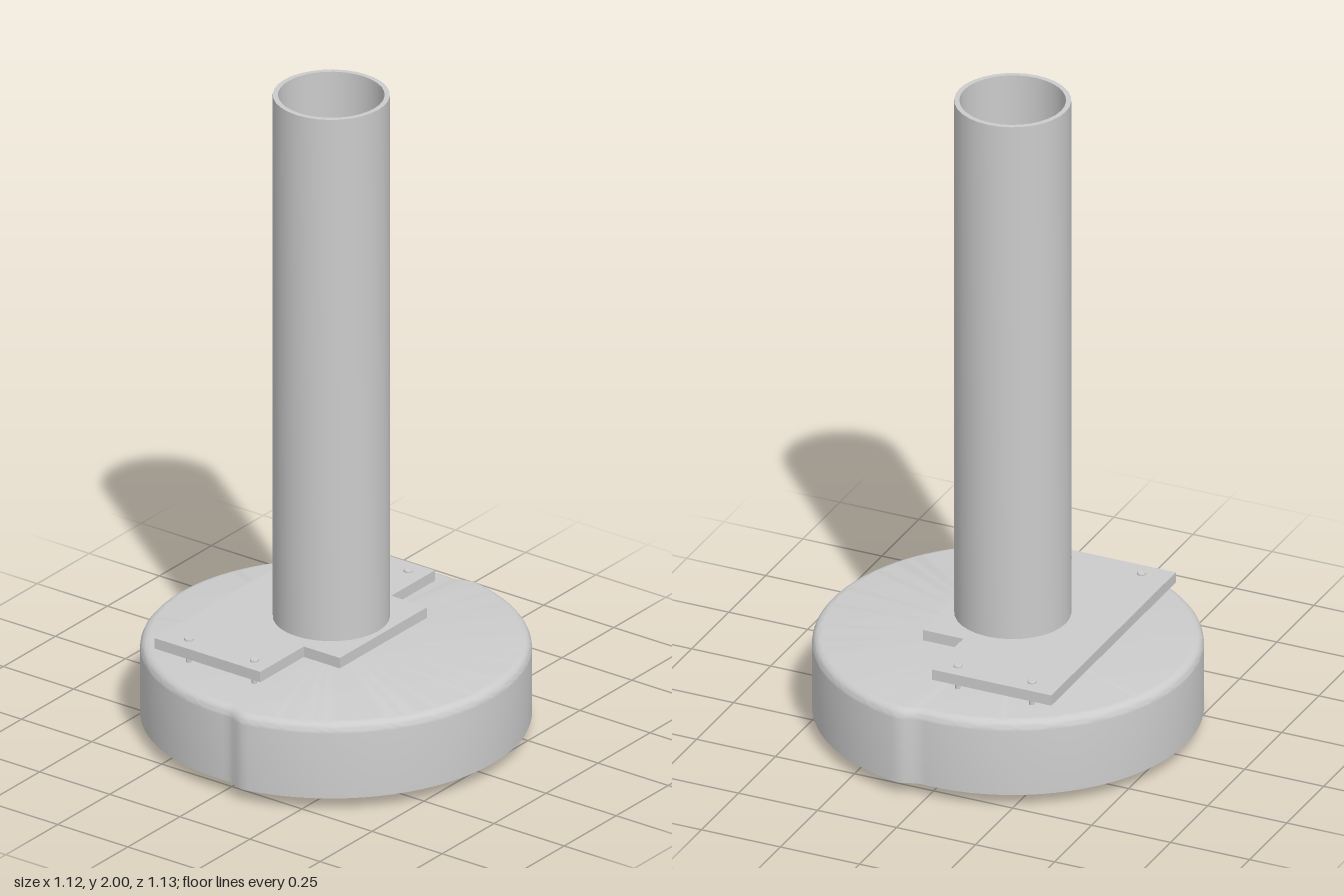
import * as THREE from 'three';
import { toCreasedNormals } from 'three/addons/utils/BufferGeometryUtils.js';

const CX = -0.016; // shared axis of base, tube and wheels

export function createModel() {
  const model = new THREE.Group();
  const smooth = new THREE.MeshStandardMaterial({ color: 0xcccccc });
  const add = (name, geometry, x = 0, y = 0, z = 0, parent = model) => {
    const mesh = new THREE.Mesh(geometry, smooth);
    mesh.name = name;
    mesh.position.set(x, y, z);
    parent.add(mesh);
    return mesh;
  };

  // Round base: a lathe with a filleted top, its +x half swelling outwards
  const R = 0.548, SWELL = 0.027, FILLET = 0.03, TOP = 0.275;
  const profile = [new THREE.Vector2(0, 0.04), new THREE.Vector2(R, 0.04)];
  for (let i = 0; i <= 6; i++) {
    const a = (i / 6) * Math.PI / 2;
    profile.push(new THREE.Vector2(R - FILLET * (1 - Math.cos(a)), TOP - FILLET * (1 - Math.sin(a))));
  }
  profile.push(new THREE.Vector2(0, TOP));
  const base = new THREE.LatheGeometry(profile, 180);
  const pos = base.attributes.position;
  for (let i = 0; i < pos.count; i++) {
    const x = pos.getX(i), z = pos.getZ(i), r = Math.hypot(x, z);
    if (r < 0.1) continue;
    const k = 1 + SWELL * THREE.MathUtils.smoothstep(x, 0.035, 0.1) / r;
    pos.setX(i, x * k);
    pos.setZ(i, z * k);
  }
  add('base', toCreasedNormals(base, 0.6), CX);

  // Two wheels sunk into the underside
  for (const side of [-1, 1]) {
    const wheel = new THREE.CylinderGeometry(0.12, 0.12, 0.1, 40).rotateX(Math.PI / 2);
    add(side > 0 ? 'frontWheel' : 'backWheel', wheel, CX, 0.12, side * 0.39);
  }

  // T-shaped mounting plate with a cable hole
  const outline = [[-0.335, -0.42], [0.042, -0.42], [0.042, -0.21], [0.17, -0.21],
    [0.17, 0.21], [0.042, 0.21], [0.042, 0.42], [-0.335, 0.42]];
  const plate = new THREE.Shape(outline.map(([x, y]) => new THREE.Vector2(x, y)));
  plate.holes.push(new THREE.Path().absarc(CX, 0, 0.021, 0, Math.PI * 2, true));
  const plateGeo = new THREE.ExtrudeGeometry(plate, { depth: 0.033, bevelEnabled: false, curveSegments: 12 });
  add('mountingPlate', plateGeo.rotateX(-Math.PI / 2), 0, 0.312, 0);

  // Open tall tube with wall thickness
  const wall = [[0.153, 0.345], [0.168, 0.345], [0.168, 2], [0.153, 2], [0.153, 0.345]];
  const tube = new THREE.LatheGeometry(wall.map(([r, y]) => new THREE.Vector2(r, y)), 32);
  add('tube', toCreasedNormals(tube, 0.5), CX);

  // Screws: shaft and round head with a cross recess
  const head = new THREE.Shape().absarc(0, 0, 0.01, 0, Math.PI * 2, false);
  const cross = [];
  const a = 0.002, b = 0.007;
  for (let i = 0; i < 4; i++) {
    const q = new THREE.Vector2();
    for (const [x, y] of [[b, -a], [b, a], [a, a]]) {
      cross.push(new THREE.Vector2(x, y).rotateAround(q, i * Math.PI / 2));
    }
  }
  head.holes.push(new THREE.Path(cross.reverse()));
  const headGeo = new THREE.ExtrudeGeometry(head, {
    depth: 0.003, curveSegments: 12, bevelThickness: 0.004, bevelSize: 0.003,
    bevelOffset: 0, bevelSegments: 2,
  }).rotateX(-Math.PI / 2);
  const shaftGeo = new THREE.CylinderGeometry(0.008, 0.008, 0.085, 16);
  for (const x of [-0.25, CX]) {
    for (const z of [-0.37, 0.37]) {
      const screw = new THREE.Group();
      screw.name = 'screw';
      screw.position.set(x, 0, z);
      add('screwShaft', shaftGeo, 0, 0.305, 0, screw);
      add('screwHead', headGeo, 0, 0.345, 0, screw);
      model.add(screw);
    }
  }
  return model;
}
